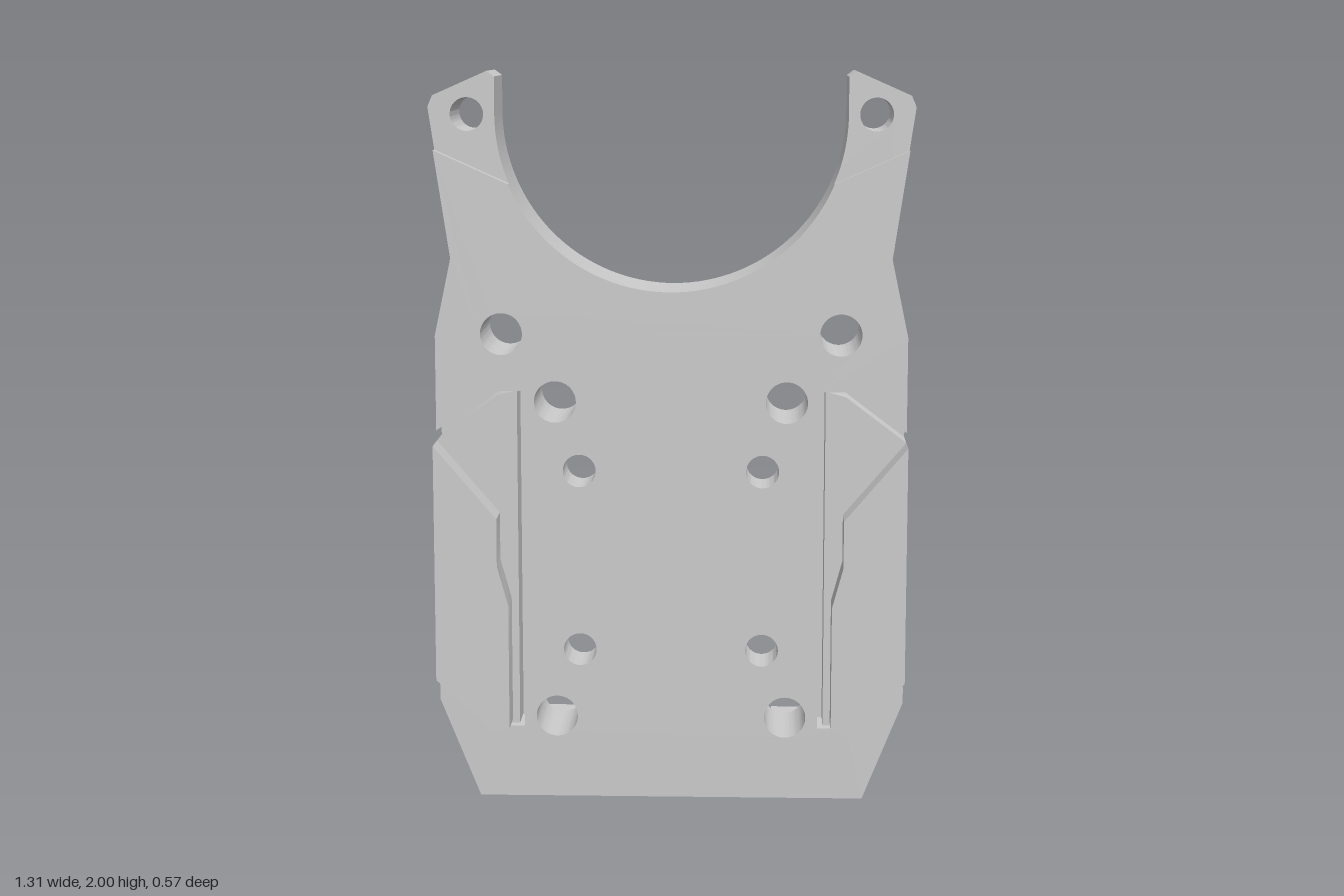
import * as THREE from 'three';
import { toCreasedNormals } from 'three/addons/utils/BufferGeometryUtils.js';

const material = new THREE.MeshStandardMaterial({ color: 0xcccccc });
const Z = { back: -0.045, pocket: 0.065, recess: 0.09, ear: 0.17, front: 0.205, clip: 0.285 };
const LUG_TOP = 0.14, BOWL_Y = 1.885, BOWL_R = 0.475;

// Through holes, mirrored in x: [x, y, radius]
const HOLES = [
  [0.46, 1.295, 0.057], [0.315, 1.11, 0.057], [0.25, 0.92, 0.045],
  [0.25, 0.42, 0.045], [0.315, 0.23, 0.057],
];
const EAR_HOLE = [0.55, 1.885, 0.045];
const BLIND_HOLE = [0.48, 1.12, 0.027];

const polygon = (points) => new THREE.Shape(points.map(([x, y]) => new THREE.Vector2(x, y)));
const mirror = (points) => points.map(([x, y]) => [-x, y]);

function circle(x, y, r) {
  const p = new THREE.Path();
  p.absarc(x, y, r, 0, Math.PI * 2, false);
  return p;
}

function extrude(shape, depth) {
  return new THREE.ExtrudeGeometry(shape, { depth, bevelEnabled: false, curveSegments: 32 });
}

function addMesh(group, name, geometry) {
  const mesh = new THREE.Mesh(toCreasedNormals(geometry, 0.5), material);
  mesh.name = name;
  group.add(mesh);
  return mesh;
}

// Slab between two depths, drawn in the front plane
function slab(group, name, shape, z0, z1) {
  addMesh(group, name, extrude(shape, z1 - z0).translate(0, 0, z0));
}

// Bar between two x positions, its profile drawn as (z, y)
function bar(shape, x0, x1) {
  return extrude(shape, x1 - x0).rotateY(-Math.PI / 2).translate(x1, 0, 0);
}

// Symmetric plate outline with a round bowl between two ears
function plateShape({ raised = false, notched = false, ears = true, holes = [] }) {
  const half = raised ? [[0.586, LUG_TOP]] : [[0.53, 0]];
  half.push([0.64, 0.275]);
  if (notched) {
    half.push([0.64, 0.32], [0.61, 0.32], [0.485, 0.2], [0.405, 0.2],
      [0.405, 1.14], [0.48, 1.14], [0.64, 1.03]);
  }
  half.push([0.64, 1.29], [0.595, 1.5]);
  if (ears) {
    half.push([0.655, 1.905], [0.642, 1.935], [0.495, 2], [0.475, 1.985]);
  } else {
    half.push([0.638, 1.79]);
  }
  const a = ears ? 0 : 0.4;
  const shape = polygon(half);
  shape.absarc(0, BOWL_Y, BOWL_R, -a, Math.PI + a, true);
  for (const [x, y] of mirror(half).reverse()) shape.lineTo(x, y);
  for (const [x, y, r] of holes) {
    shape.holes.push(circle(x, y, r), circle(-x, y, r));
  }
  return shape;
}

export function createModel() {
  const model = new THREE.Group();
  model.name = 'mountingPlate';

  // Plate, as layers from back to front
  const plate = new THREE.Group();
  plate.name = 'plate';
  model.add(plate);

  const outer = HOLES.filter(([, y]) => y > 1 || y < 0.3);
  const back = plateShape({ raised: true, holes: [...outer, EAR_HOLE, BLIND_HOLE] });
  back.holes.push(polygon([[-0.565, 0.34], [-0.565, 1], [0.565, 1], [0.565, 0.34]]));
  slab(plate, 'pocketFrame', back, Z.back, Z.pocket);

  const through = [...HOLES, EAR_HOLE];
  slab(plate, 'pocketFloor', plateShape({ holes: through }), Z.pocket, Z.recess);
  slab(plate, 'frontLayer', plateShape({ notched: true, holes: through }), Z.recess, Z.ear);
  slab(plate, 'frontFace', plateShape({ notched: true, ears: false, holes: HOLES }), Z.ear, Z.front);

  // Bottom back edge: chamfered between the lugs
  const chamfer = polygon([[Z.pocket, 0], [Z.pocket, LUG_TOP], [Z.back, LUG_TOP], [Z.back, 0.1], [0.045, 0]]);
  addMesh(plate, 'bottomEdge', bar(chamfer, -0.28, 0.28));

  // Hinge lugs and the rounded reliefs outside them
  const lug = polygon([[Z.pocket, 0], [-0.2, 0], [-0.285, 0.05], [-0.23, LUG_TOP], [Z.pocket, LUG_TOP]]);
  lug.holes.push(circle(-0.1, 0.07, 0.045));
  const relief = polygon([[Z.pocket, 0], [Z.pocket, LUG_TOP]]);
  relief.absarc(-0.1, 0.07, 0.095, 0.83, -0.83, true);

  // Spring clips: base with two side windows, raised catch in front
  const clipBase = [
    [0.42, 0.205], [0.485, 0.205], [0.64, 0.35],
    [0.64, 0.39], [0.53, 0.39], [0.53, 0.63], [0.64, 0.63],
    [0.64, 0.72], [0.53, 0.72], [0.53, 0.95], [0.64, 0.95],
    [0.64, 1], [0.475, 1.125], [0.42, 1.14],
  ];
  const clipCatch = [
    [0.44, 0.215], [0.485, 0.205], [0.64, 0.35], [0.64, 1],
    [0.47, 0.8], [0.47, 0.67], [0.44, 0.56],
  ];

  for (const side of [1, -1]) {
    const prefix = side > 0 ? 'left' : 'right';
    const flip = (points) => (side > 0 ? points : mirror(points));
    const span = (a, b) => (side > 0 ? [a, b] : [-b, -a]);

    addMesh(model, prefix + 'HingeLug', bar(lug, ...span(0.28, 0.53)));

    // Follow the slanted lower corner of the plate
    const end = bar(relief, ...span(0.53, 0.59));
    const p = end.attributes.position;
    for (let i = 0; i < p.count; i++) {
      if (Math.abs(p.getX(i)) > 0.56) p.setX(i, side * (0.53 + 0.4 * p.getY(i)));
    }
    end.computeVertexNormals();
    addMesh(plate, prefix + 'HingeRelief', end);

    const clip = new THREE.Group();
    clip.name = prefix + 'Clip';
    slab(clip, 'clipBase', polygon(flip(clipBase)), Z.recess, 0.19);
    slab(clip, 'clipCatch', polygon(flip(clipCatch)), 0.19, Z.clip);
    model.add(clip);
  }
  return model;
}
